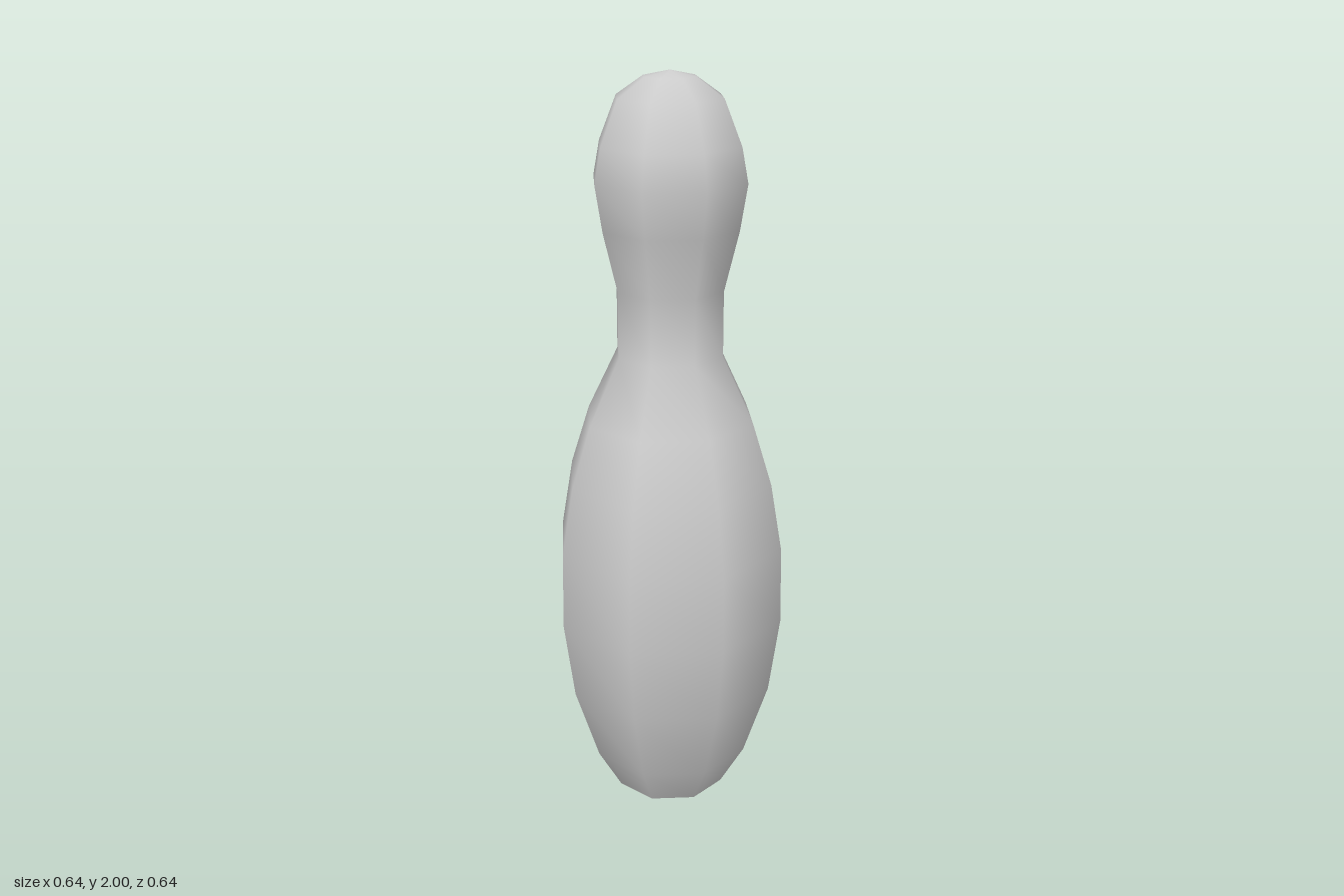
import * as THREE from 'three';

export function createModel() {
  const group = new THREE.Group();
  group.name = 'bowlingPin';
  const material = new THREE.MeshStandardMaterial({ color: 0xcccccc });
  const sides = 8;
  const baseRadius = 0.155;

  // Pin silhouette from base to crown: [radius, height]
  const profile = [
    [baseRadius, 0], [0.222, 0.117], [0.29, 0.325], [0.32, 0.54], [0.317, 0.75],
    [0.285, 0.935], [0.232, 1.1], [0.147, 1.275], [0.147, 1.45], [0.187, 1.61],
    [0.207, 1.73], [0.19, 1.82], [0.143, 1.935], [0.07, 1.985], [0, 2],
  ].map(([r, y]) => new THREE.Vector2(r, y));

  const body = new THREE.Mesh(new THREE.LatheGeometry(profile, sides), material);
  body.name = 'pinBody';
  group.add(body);

  // Flat underside
  const base = new THREE.Mesh(new THREE.CircleGeometry(baseRadius, sides), material);
  base.name = 'pinBase';
  base.rotation.x = Math.PI / 2;
  group.add(base);

  return group;
}
